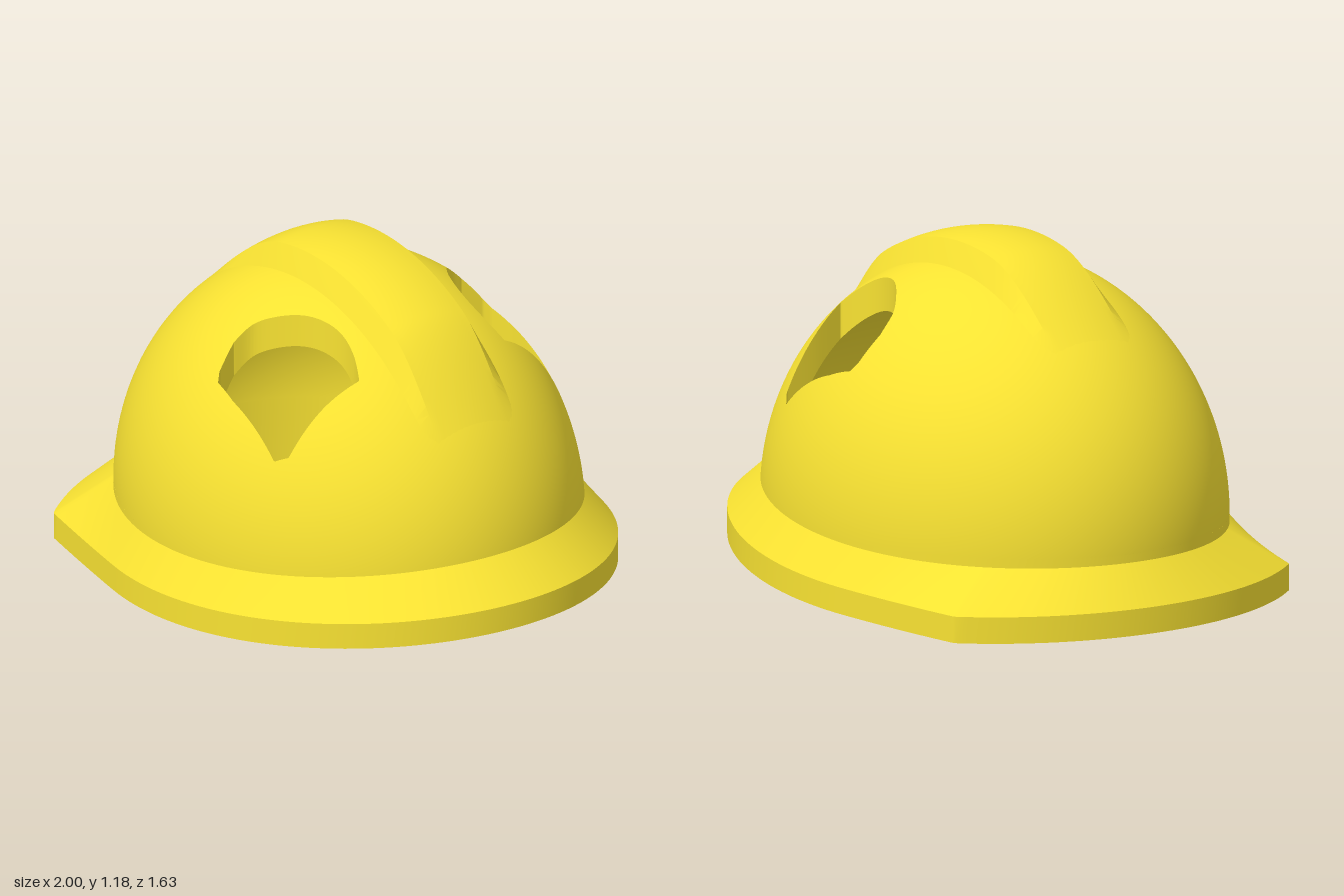
import * as THREE from 'three';
import { mergeGeometries, toCreasedNormals } from 'three/addons/utils/BufferGeometryUtils.js';

const BASE = 0.25;                                   // height of the dome's widest ring
const OUTER = { cx: -0.012, a: 0.87, b: 0.73, h: 0.86 };
const INNER = { cx: -0.012, a: 0.805, b: 0.67, h: 0.75 };
const MOUTH = { cx: 0.015, a: 0.835, b: 0.675 };     // opening in the underside
const WIDTH = 1.6;                                   // width of the unrolled half dome
const V = (x, y, z) => new THREE.Vector3(x, y, z);

// Surface between rows of points
function loft(rows, flip = false) {
  const n = rows[0].length, index = [];
  const pos = rows.flat().flatMap((p) => [p.x, p.y, p.z]);
  for (let i = 0; i < rows.length - 1; i++) {
    for (let j = 0; j < n - 1; j++) {
      const a = i * n + j, b = a + n, c = b + 1, d = a + 1;
      if (flip) index.push(a, b, d, d, b, c);
      else index.push(a, d, b, d, c, b);
    }
  }
  const g = new THREE.BufferGeometry();
  g.setAttribute('position', new THREE.Float32BufferAttribute(pos, 3));
  g.setIndex(index);
  return g;
}

// Height of the outer dome above a plan position
function domeY(x, z) {
  const r2 = ((x - OUTER.cx) / OUTER.a) ** 2 + (z / OUTER.b) ** 2;
  return BASE + OUTER.h * Math.sqrt(Math.max(0, 1 - r2));
}

// Plan position <-> unrolled half dome (angle around, distance from the crown)
function unroll(e, x, z) {
  const u = (x - e.cx) / e.a, v = z / e.b;
  const rho = Math.asin(Math.min(Math.hypot(u, v), 0.97)) / (Math.PI / 2);
  return new THREE.Vector2(Math.atan2(v, u) / Math.PI * WIDTH, rho);
}
function rollUp(e, p) {
  const t = p.x / WIDTH * Math.PI, r = Math.sin(p.y * Math.PI / 2);
  return V(e.cx + e.a * r * Math.cos(t), BASE + e.h * Math.cos(p.y * Math.PI / 2), e.b * r * Math.sin(t));
}

// Outline of one vent in plan (x, z)
function ventOutline(dz) {
  const pts = (list) => list.map(([x, z]) => new THREE.Vector2(x, z + dz));
  const s = new THREE.Shape();
  s.moveTo(-0.04, 0.455 + dz);
  s.splineThru(pts([[-0.02, 0.39], [0.04, 0.335], [0.12, 0.283], [0.2, 0.253], [0.28, 0.243], [0.36, 0.256], [0.43, 0.285]]));
  s.splineThru(pts([[0.40, 0.41], [0.38, 0.54]]));
  for (const p of pts([[0.34, 0.57], [0.1, 0.562], [0, 0.55], [-0.02, 0.53], [-0.04, 0.455]])) s.lineTo(p.x, p.y);
  return s.getSpacedPoints(260);
}

// Half of a dome: rows spread from the vent's edge to the rim, crown and centre line
function halfDome(e, outline) {
  const hole = outline.map((p) => unroll(e, p.x, p.y));
  const c = unroll(e, 0.2, outline[0].y - 0.03);
  const edge = hole.map((p) => {
    const d = p.clone().sub(c);
    const tx = (d.x > 0 ? WIDTH - c.x : -c.x) / d.x;
    const ty = (d.y > 0 ? 1 - c.y : -c.y) / d.y;
    return c.clone().addScaledVector(d, Math.min(tx, ty));
  });
  // Put the nearest samples exactly on the patch corners
  for (const [x, y] of [[0, 0], [WIDTH, 0], [0, 1], [WIDTH, 1]]) {
    const corner = new THREE.Vector2(x, y);
    let best = 0;
    edge.forEach((q, i) => { if (q.distanceTo(corner) < edge[best].distanceTo(corner)) best = i; });
    edge[best].copy(corner);
  }
  edge[edge.length - 1].copy(edge[0]);
  const rows = [], N = 26;
  for (let i = 0; i <= N; i++) {
    rows.push(hole.map((p, j) => rollUp(e, p.clone().lerp(edge[j], (i / N) ** 1.2))));
  }
  return rows;
}

// Smooth shell normals taken from the ellipsoid itself
function shell(geometry, e, sign) {
  const p = geometry.attributes.position, normals = [], n = V(0, 0, 0);
  for (let i = 0; i < p.count; i++) {
    n.set((p.getX(i) - e.cx) / e.a ** 2, (p.getY(i) - BASE) / e.h ** 2, p.getZ(i) / e.b ** 2);
    n.normalize().multiplyScalar(sign);
    normals.push(n.x, n.y, n.z);
  }
  geometry.setAttribute('normal', new THREE.Float32BufferAttribute(normals, 3));
  return geometry;
}

// Plan radius of the brim: oval, with straight sides and a shallow arc at the -x end
function brimRadius(t) {
  const c = Math.cos(t), s = Math.abs(Math.sin(t));
  const oval = 1 / Math.hypot(c, s / 0.815);
  if (oval * c > -0.27) return oval;
  const line = s > 0.05 ? 0.8453 / (s - 0.2234 * c) : Infinity;
  const arc = 0.03 * c + Math.sqrt(1.03 ** 2 - (0.03 * s) ** 2);
  return Math.min(line, arc);
}

function brimGeometry() {
  const angles = [], corner = Math.atan2(0.68, -0.74);
  for (let i = 0; i <= 180; i++) angles.push(i / 180 * Math.PI * 2);
  angles.push(corner, Math.PI * 2 - corner);
  angles.sort((p, q) => p - q);
  const low = (x) => 0.04 + 0.0775 * x + 0.04 * x * x;
  const rows = [[], [], [], [], [], []];
  for (const t of angles) {
    const c = Math.cos(t), s = Math.sin(t), r = brimRadius(t);
    const mx = MOUTH.cx + MOUTH.a * c;
    const jx = OUTER.cx + OUTER.a * c;
    const jy = 0.25 + 0.0815 * jx + 0.0555 * jx * jx;
    const k = Math.sqrt(1 - (Math.max(0, jy - BASE) / OUTER.h) ** 2);
    rows[0].push(V(INNER.cx + INNER.a * c, BASE, INNER.b * s));
    rows[1].push(V(mx, low(mx), MOUTH.b * s));
    rows[2].push(V(r * c, low(r * c), r * s));
    rows[3].push(V(r * c, low(r * c) + 0.09, r * s));
    rows[4].push(V(OUTER.cx + OUTER.a * c * k, jy, OUTER.b * s * k));
    rows[5].push(V(jx, BASE, OUTER.b * s));
  }
  return loft(rows, true);
}

// Raised band over the crown, fading into the dome at both ends
function ridgeGeometry() {
  const zs = [-0.2, -0.19];
  for (let i = -6; i <= 6; i++) zs.push(i / 6 * 0.145);
  zs.push(0.19, 0.2);
  const rows = [];
  for (let i = 0; i <= 80; i++) {
    const x = -0.63 + 1.36 * i / 80;
    const h = 0.073 * THREE.MathUtils.smoothstep(x, -0.62, -0.2)
      * (1 - THREE.MathUtils.smoothstep(x, 0.42, 0.72)) - 0.003;
    rows.push(zs.map((z) => {
      const a = Math.abs(z);
      return V(x, domeY(x, z) + (a < 0.15 ? h : a < 0.195 ? -0.002 : -0.02), z);
    }));
  }
  return loft(rows);
}

export function createModel() {
  const group = new THREE.Group();
  const material = new THREE.MeshStandardMaterial({ color: 0xf8e232, side: THREE.DoubleSide });
  const add = (name, geometry) => {
    const mesh = new THREE.Mesh(geometry, material);
    mesh.name = name;
    group.add(mesh);
  };
  // Joins the +z half with the reflected -z half
  const join = (left, right, flip) => mergeGeometries([
    loft(left, flip),
    loft(right.map((row) => row.map((p) => V(p.x, p.y, -p.z))), !flip),
  ]);

  // The vent on the -z side sits slightly further out
  const outlines = [ventOutline(0), ventOutline(0.028)];
  const [outerL, outerR] = outlines.map((o) => halfDome(OUTER, o));
  const [innerL, innerR] = outlines.map((o) => halfDome(INNER, o));
  add('domeOuterShell', shell(join(outerL, outerR, false), OUTER, 1));
  add('domeInnerShell', shell(join(innerL, innerR, true), INNER, -1));
  add('ventWalls', toCreasedNormals(join([outerL[0], innerL[0]], [outerR[0], innerR[0]], true), 0.5));
  add('crownRidge', toCreasedNormals(ridgeGeometry(), 0.3));
  add('brim', toCreasedNormals(brimGeometry(), 0.4));
  return group;
}
